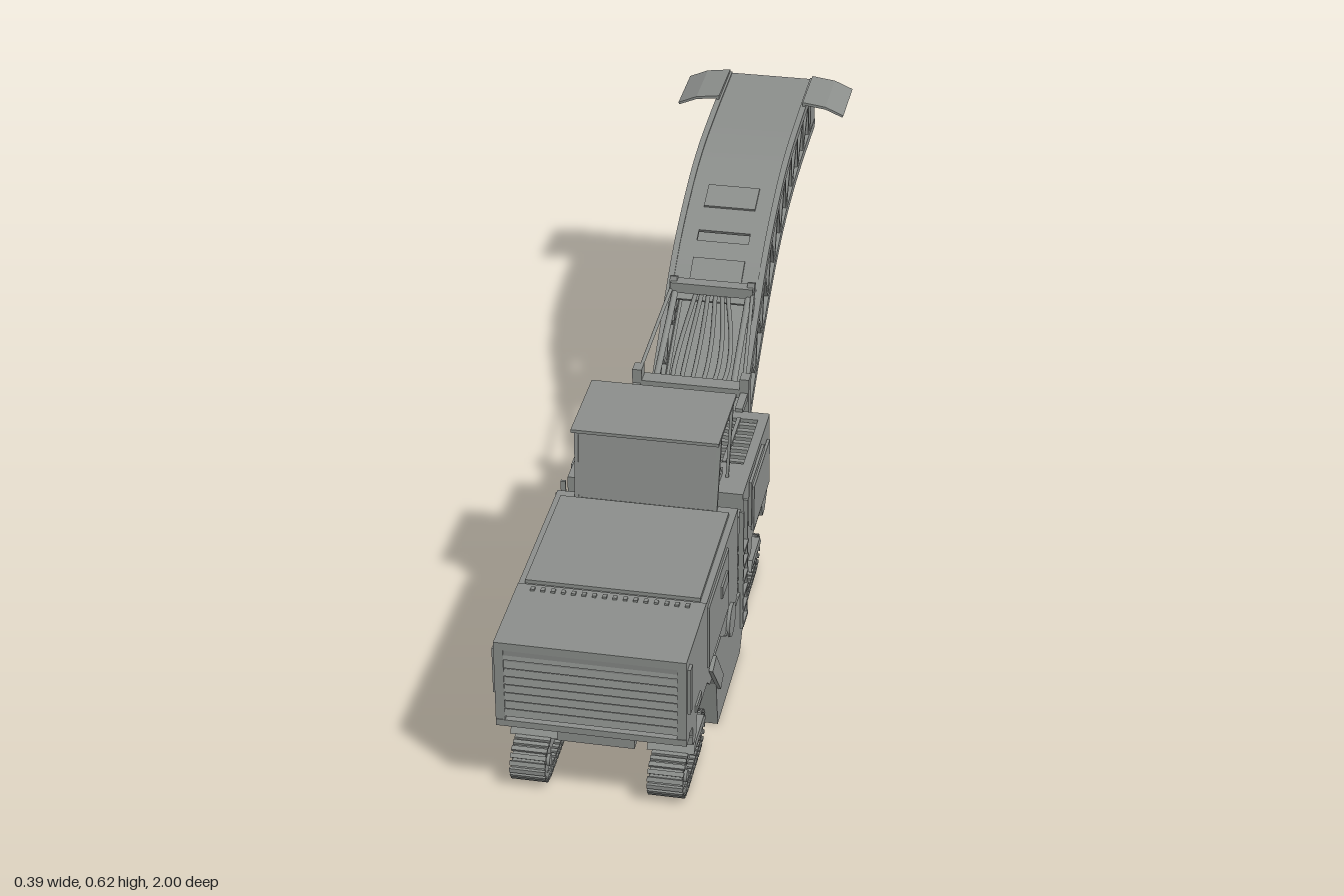
import * as THREE from 'three';
import { toCreasedNormals } from 'three/addons/utils/BufferGeometryUtils.js';

export function createModel() {
  const model = new THREE.Group();
  const grey = new THREE.MeshStandardMaterial({ color: 0x8b8e8b });
  grey.name = 'machineGrey';

  const add = (name, geo, parent = model) => {
    const m = new THREE.Mesh(geo, grey);
    m.name = name;
    parent.add(m);
    return m;
  };
  // box given by its limits on each axis
  const box = (name, x0, x1, y0, y1, z0, z1, parent) => {
    const g = new THREE.BoxGeometry(x1 - x0, y1 - y0, z1 - z0);
    g.translate((x0 + x1) / 2, (y0 + y1) / 2, (z0 + z1) / 2);
    return add(name, g, parent);
  };
  // [z, y] outline (with optional hole) extruded from x0 to x1
  const side = (name, pts, x0, x1, parent, hole) => {
    const v = p => new THREE.Vector2(p[0], p[1]);
    const s = new THREE.Shape(pts.map(v));
    if (hole) s.holes.push(new THREE.Path(hole.map(v)));
    const g = new THREE.ExtrudeGeometry(s, { depth: x1 - x0, bevelEnabled: false });
    g.rotateY(-Math.PI / 2);
    g.translate(x1, 0, 0);
    return add(name, toCreasedNormals(g, 0.45), parent);
  };
  // straight bar between two points
  const bar = (name, a, b, w, d = w, round = false) => {
    const A = new THREE.Vector3(...a), B = new THREE.Vector3(...b);
    const l = A.distanceTo(B);
    const m = add(name, round ? new THREE.CylinderGeometry(w / 2, w / 2, l, 12) : new THREE.BoxGeometry(w, l, d));
    m.position.copy(A).add(B).multiplyScalar(0.5);
    m.quaternion.setFromUnitVectors(new THREE.Vector3(0, 1, 0), B.sub(A).normalize());
    return m;
  };
  const mirrored = (name, x0, x1, make) => {
    make(name + 'Left', x0, x1);
    make(name + 'Right', -x1, -x0);
  };

  // front engine hood
  side('engineHood', [[1, 0.36], [0.985, 0.19], [0.94, 0.16], [0.93, 0.13], [0.9, 0.13], [0.89, 0.17], [0.79, 0.17],
    [0.77, 0.13], [0.46, 0.14], [0.46, 0.36]], -0.165, 0.165);
  mirrored('hoodSide', 0.165, 0.183, (n, a, b) => side(n, [[1, 0.36], [1, 0.187], [0.94, 0.175], [0.93, 0.125],
    [0.905, 0.13], [0.895, 0.17], [0.79, 0.17], [0.76, 0.145], [0.46, 0.145], [0.46, 0.36]], a, b));
  box('hoodTopFront', -0.183, 0.183, 0.345, 0.362, 0.8, 1);
  box('hoodLid', -0.17, 0.17, 0.355, 0.368, 0.49, 0.795);
  for (let i = 0; i < 16; i++) box('hoodBolt', -0.154 + i * 0.02, -0.146 + i * 0.02, 0.36, 0.366, 0.812, 0.822);
  for (let i = 0; i < 8; i++) {
    const y = 0.195 + i * 0.0185;
    side('frontSlat', [[0.985, y], [1, y], [0.996, y + 0.0145], [0.985, y + 0.0145]], -0.175, 0.175);
  }
  box('grilleSill', -0.183, 0.183, 0.172, 0.186, 0.97, 1);
  box('frontBumper', -0.075, 0.075, 0.122, 0.15, 0.92, 0.96);
  box('frontBeam', -0.183, 0.183, 0.132, 0.15, 0.9, 0.94);
  for (const s of [-1, 1]) for (const z of [0.885, 0.97])
    if (z > 0.9) box('cornerHandle', s * 0.185 - 0.004, s * 0.185 + 0.004, 0.24, 0.34, z, z + 0.02);
    else box('sideVent', s * 0.184 - 0.003, s * 0.184 + 0.003, 0.19, 0.205, z - 0.02, z + 0.03);

  // thin access panels on the flanks
  for (const s of [-1, 1]) {
    const plate = (n, z0, z1, y0, y1) => box(n, s * 0.184 - 0.003, s * 0.184 + 0.003, y0, y1, z0, z1);
    plate('accessDoor', 0.58, 0.79, 0.205, 0.345);
    box('doorLatch', s * 0.188 - 0.003, s * 0.188 + 0.003, 0.285, 0.312, 0.61, 0.67);
    plate('rearHandleUpright', 0.305, 0.322, 0.23, 0.335);
    plate('rearHandleTop', 0.17, 0.322, 0.32, 0.335);
    plate('rearDoor', 0.1, 0.29, 0.2, 0.305);
  }

  // milling drum housing with side plates
  side('drumHousing', [[0.71, 0.2], [0.705, 0.08], [0.68, 0.05], [0.42, 0.05], [0.395, 0.07], [0.395, 0.2]], -0.15, 0.15);
  mirrored('drumSidePlate', 0.15, 0.186, (n, a, b) => side(n, [[0.77, 0.19], [0.71, 0.11], [0.69, 0],
    [0.44, 0], [0.395, 0.06], [0.395, 0.145], [0.48, 0.15], [0.6, 0.15], [0.66, 0.19]], a, b));
  mirrored('drumChute', 0.184, 0.192, (n, a, b) => side(n, [[0.78, 0.19], [0.74, 0.2], [0.66, 0.1], [0.69, 0.085]], a, b));
  for (const s of [-1, 1]) {
    const hub = add('drumHub', new THREE.CylinderGeometry(0.035, 0.035, 0.012, 24));
    hub.rotation.z = Math.PI / 2;
    hub.position.set(s * 0.184, 0.155, 0.55);
  }

  // rear body
  const rearOutline = top => [[0.385, top], [0.385, 0.14], [0.28, 0.14], [0.27, 0.17], [0.15, 0.17], [0.14, 0.14],
    [0.115, 0.14], [0.065, 0.19], [0.065, top]];
  side('rearBody', rearOutline(0.325), -0.16, 0.16);
  mirrored('rearSideWall', 0.16, 0.18, (n, a, b) => side(n, rearOutline(0.345), a, b));
  box('rearDeck', -0.16, 0.16, 0.32, 0.345, 0.27, 0.385);
  box('rearRim', -0.16, 0.16, 0.32, 0.345, 0.065, 0.095);
  for (let i = 0; i < 7; i++) box('grilleSlat', -0.16, 0.16, 0.33, 0.343, 0.105 + i * 0.024, 0.117 + i * 0.024);
  for (let i = -2; i <= 2; i++) box('grilleRib', i * 0.06 - 0.004, i * 0.06 + 0.004, 0.33, 0.347, 0.095, 0.27);
  // tapered tail
  const tail = new THREE.Shape([[-0.175, -0.07], [-0.15, -0.03], [-0.12, 0.01], [-0.095, 0.01], [-0.095, -0.07]]
    .map(p => new THREE.Vector2(...p)));
  for (const s of [-1, 1]) {
    const g = new THREE.ExtrudeGeometry(tail, { depth: 0.09, bevelEnabled: false });
    g.rotateX(-Math.PI / 2);
    g.rotateZ(s > 0 ? Math.PI : 0); // turned over for the other side
    g.translate(0, s > 0 ? 0.3 : 0.21, 0);
    add('tailBracket', g);
  }

  // operator platform and canopy
  box('platformFloor', -0.18, 0.18, 0.14, 0.25, 0.38, 0.465);
  box('console', -0.12, 0.12, 0.25, 0.385, 0.44, 0.462);
  for (const s of [-1, 1]) {
    box('seatCushion', s * 0.09 - 0.035, s * 0.09 + 0.035, 0.345, 0.358, 0.31, 0.37);
    side('seatBack', [[0.325, 0.35], [0.335, 0.35], [0.345, 0.38], [0.337, 0.38]], s * 0.09 - 0.035, s * 0.09 + 0.035);
    bar('canopyPost', [s * 0.137, 0.345, 0.325], [s * 0.142, 0.51, 0.3], 0.006);
    bar('frontPost', [s * 0.14, 0.36, 0.475], [s * 0.144, 0.51, 0.45], 0.008);
    // access ladder
    for (const z of [0.39, 0.437]) box('ladderRail', s * 0.187 - 0.005, s * 0.187 + 0.005, 0.06, 0.34, z, z + 0.006);
    for (let i = 0; i < 6; i++) box('ladderRung', s * 0.184 - 0.01, s * 0.184 + 0.01, 0.065 + i * 0.035, 0.072 + i * 0.035, 0.39, 0.443);
    box('platformGate', s * 0.175 - 0.004, s * 0.175 + 0.004, 0.25, 0.32, 0.4, 0.46);
  }
  side('windscreen', [[0.472, 0.36], [0.477, 0.36], [0.452, 0.51], [0.447, 0.51]], -0.142, 0.142);
  box('canopyRoof', -0.15, 0.147, 0.508, 0.515, 0.28, 0.477);

  // crawler tracks on lifting columns
  const loop = new THREE.CatmullRomCurve3([[0.115, 0.043], [0.1, 0.015], [0.075, 0.005], [-0.075, 0.005], [-0.1, 0.015],
    [-0.115, 0.043], [-0.1, 0.073], [-0.055, 0.086], [0.055, 0.086], [0.1, 0.073]]
    .map(p => new THREE.Vector3(0, p[1], p[0])), true);
  const PADS = 38;
  const belt = loop.getSpacedPoints(PADS * 2).slice(0, -1).map(p => [p.z * 0.98, p.y * 0.96 + 0.002]);
  const inner = belt.map(p => [p[0] * 0.88, (p[1] - 0.045) * 0.76 + 0.045]);
  for (const s of [-1, 1]) for (const z of [0.85, 0.215]) {
    const track = new THREE.Group();
    track.name = 'crawlerTrack';
    track.position.set(s * 0.134, 0, z);
    model.add(track);
    side('trackBelt', belt, -0.032, 0.032, track, inner);
    for (let i = 0; i < PADS; i++) {
      const p = loop.getPointAt(i / PADS), t = loop.getTangentAt(i / PADS);
      const pad = add('trackPad', new THREE.BoxGeometry(0.07, 0.007, 0.009), track);
      pad.position.set(0, Math.max(p.y, 0.0035), p.z);
      pad.rotation.x = -Math.atan2(t.y, t.z);
    }
    box('trackFrame', -0.025, 0.025, 0.03, 0.062, -0.07, 0.07, track);
    for (const w of [-0.072, 0.072]) {
      const wheel = add('trackWheel', new THREE.CylinderGeometry(0.027, 0.027, 0.06, 20), track);
      wheel.rotation.z = Math.PI / 2;
      wheel.position.set(0, 0.044, w);
      const hub = add('wheelHub', new THREE.CylinderGeometry(0.012, 0.012, 0.072, 14), track);
      hub.rotation.z = Math.PI / 2;
      hub.position.set(0, 0.044, w);
    }
    side('trackGuard', [[0.06, 0.086], [0.045, 0.105], [-0.045, 0.105], [-0.06, 0.086]], -0.046, 0.046, track);
    const column = add('liftColumn', new THREE.CylinderGeometry(0.034, 0.034, 0.09, 24), track);
    column.position.y = 0.14;
  }

  // conveyor: two smooth chord lines read as height over z
  const line = pts => {
    const s = new THREE.SplineCurve(pts.map(p => new THREE.Vector2(...p))).getPoints(160);
    return z => {
      let i = 1;
      while (i < s.length - 1 && s[i].x > z) i++;
      const a = s[i - 1], b = s[i];
      return a.y + (b.y - a.y) * (z - a.x) / (b.x - a.x);
    };
  };
  const low = line([[0.42, 0.058], [0.25, 0.054], [0.12, 0.056], [0.04, 0.075], [0, 0.1], [-0.1, 0.175], [-0.29, 0.315],
    [-0.5, 0.43], [-0.72, 0.482], [-1, 0.495]]);
  const high = line([[0, 0.205], [-0.08, 0.28], [-0.18, 0.365], [-0.34, 0.488], [-0.5, 0.56], [-0.635, 0.594], [-0.8, 0.608], [-1, 0.615]]);
  const normal = (f, z) => new THREE.Vector2(-(f(z + 0.01) - f(z - 0.01)) / 0.02, 1).normalize();
  // strip that follows a chord line, offset d0 to d1 along its normal
  const strip = (name, f, z0, z1, d0, d1, x0, x1) => {
    const n = Math.max(2, Math.ceil((z0 - z1) / 0.025)), a = [], b = [];
    for (let i = 0; i <= n; i++) {
      const z = z0 + (z1 - z0) * i / n, v = normal(f, Math.max(z, -0.985));
      const end = i === n && z1 === -1 ? 0 : 1;
      a.push([z + v.x * d0 * end, f(z) + v.y * d0]);
      b.unshift([z + v.x * d1 * end, f(z) + v.y * d1]);
    }
    return side(name, a.concat(b), x0, x1);
  };
  strip('conveyorFloor', low, 0.42, -1, 0, 0.008, -0.1, 0.1);
  strip('conveyorBelt', low, 0.35, -0.97, 0.035, 0.042, -0.08, 0.08);
  strip('deckLower', high, -0.25, -0.37, -0.008, 0, -0.1, 0.1);
  mirrored('deckBesideSlot', 0.057, 0.1, (n, a, b) => strip(n, high, -0.37, -0.395, -0.008, 0, a, b));
  strip('deckUpper', high, -0.395, -1, -0.008, 0, -0.1, 0.1);
  strip('deckHatchLower', high, -0.275, -0.33, 0, 0.005, -0.057, 0.057);
  strip('deckHatchUpper', high, -0.455, -0.515, 0, 0.005, -0.057, 0.057);
  mirrored('lowerChord', 0.092, 0.105, (n, a, b) => strip(n, low, 0.02, -1, 0, 0.02, a, b));
  mirrored('upperChord', 0.092, 0.105, (n, a, b) => strip(n, high, 0, -1, -0.018, 0.003, a, b));
  mirrored('feedSideWall', 0.092, 0.1, (n, a, b) => strip(n, low, 0.41, 0.02, 0, 0.075, a, b));
  mirrored('conveyorEndPlate', 0.092, 0.104, (n, a, b) => side(n, [[-0.935, 0.495], [-0.935, 0.608], [-1, 0.612], [-1, 0.495]], a, b));
  const BAYS = 11;
  const nodes = [];
  for (let i = 0; i <= BAYS; i++) {
    const z = -0.06 - 0.86 * i / BAYS, v = normal(low, z), zt = z + v.x * 0.1;
    nodes.push([[low(z) + 0.012, z], [high(zt) - 0.01, zt]]);
  }
  for (const x of [-0.098, 0.098]) nodes.forEach(([b, t], i) => {
    bar('trussPost', [x, ...b], [x, ...t], 0.009);
    if (i < BAYS) bar('trussDiagonal', [x, ...b], [x, ...nodes[i + 1][1]], 0.009);
  });

  // drooping wings at the discharge end
  for (const s of [-1, 1]) {
    const pts = [[0.097, 0.6], [0.097, 0.623], [0.15, 0.616], [0.192, 0.598], [0.19, 0.593], [0.15, 0.61], [0.103, 0.616], [0.103, 0.6]];
    const g = new THREE.ExtrudeGeometry(new THREE.Shape(pts.map(p => new THREE.Vector2(p[0] * s, p[1]))), { depth: 0.145, bevelEnabled: false });
    g.translate(0, 0, -1);
    add('dischargeWing', g);
  }

  // conveyor mount, lifting rods and hoses
  box('mountCrossbar', -0.12, 0.12, 0.34, 0.36, -0.03, 0.005);
  box('upperCrossbar', -0.09, 0.09, 0.445, 0.468, -0.262, -0.235);
  for (const s of [-1, 1]) {
    box('mountPost', s * 0.115 - 0.01, s * 0.115 + 0.01, 0.1, 0.385, -0.025, 0.005);
    bar('mountArm', [s * 0.115, 0.345, 0.07], [s * 0.115, 0.345, -0.02], 0.016);
    bar('lowerArm', [s * 0.11, 0.21, 0.08], [s * 0.112, 0.255, -0.01], 0.016);
    bar('liftRod', [s * 0.085, 0.29, 0.05], [s * 0.08, 0.45, -0.25], 0.014, 0.014, true);
    bar('stayRod', [s * 0.112, 0.375, -0.01], [s * 0.088, 0.455, -0.25], 0.008, 0.008, true);
    bar('crossbarLeg', [s * 0.085, 0.385, -0.22], [s * 0.085, 0.475, -0.255], 0.016);
    for (const k of [0.012, 0.035, 0.055]) {
      const hose = new THREE.CatmullRomCurve3([[s * k * 0.6, 0.35, -0.01], [s * k, 0.325, -0.08],
        [s * k, 0.36, -0.17], [s * k * 0.6, 0.452, -0.25]].map(p => new THREE.Vector3(...p)));
      add('hose', new THREE.TubeGeometry(hose, 20, 0.005, 8));
    }
  }
  return model;
}
